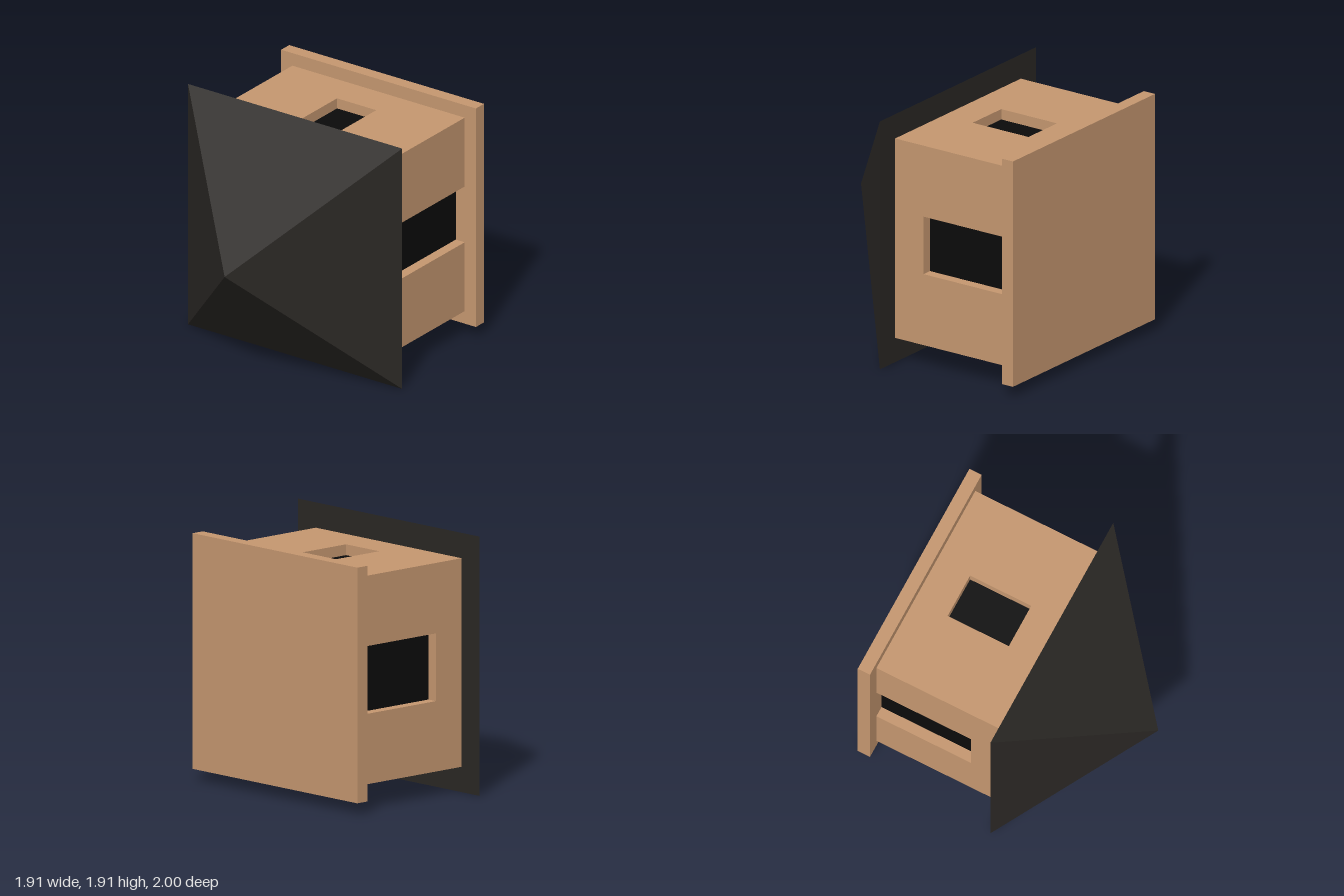
import * as THREE from 'three';

const HALF = 0.77, WALL = 0.08, BACK = -0.9, FRONT = 0.13;

export function createModel() {
  const model = new THREE.Group();
  model.name = 'hutOnItsSide';
  const house = new THREE.Group();
  house.name = 'house';
  house.position.y = 0.957;
  model.add(house);

  const wood = new THREE.MeshStandardMaterial({ color: 0xc4966f, flatShading: true });
  const roofMat = new THREE.MeshStandardMaterial({ color: 0x2a2724, flatShading: true });
  const dark = new THREE.MeshStandardMaterial({ color: 0x0a0a0a, flatShading: true });

  function add(name, geometry, material) {
    const mesh = new THREE.Mesh(geometry, material);
    mesh.name = name;
    house.add(mesh);
    return mesh;
  }

  // Wall panel facing +y, turned about z; shape height runs towards the floor slab (-z)
  function addWall(name, angle, halfWidth, door, w) {
    const top = -FRONT, floor = -BACK;
    const points = [[-halfWidth, floor], [-halfWidth, top], [halfWidth, top], [halfWidth, floor]];
    if (door) points.push([w, floor], [w, 0.125], [-w, 0.125], [-w, floor]);
    const shape = new THREE.Shape(points.map(([x, y]) => new THREE.Vector2(x, y)));
    if (!door) {
      const hole = [[-w, 0.13], [-w, 0.63], [w, 0.63], [w, 0.13]];
      shape.holes.push(new THREE.Path(hole.map(([x, y]) => new THREE.Vector2(x, y))));
    }
    const geometry = new THREE.ExtrudeGeometry(shape, { depth: WALL, bevelEnabled: false });
    geometry.rotateX(-Math.PI / 2).translate(0, HALF - WALL, 0).rotateZ(angle);
    add(name, geometry, wood);
  }

  // Two doorway walls and two window walls
  addWall('leftDoorWall', -Math.PI / 2, HALF, true, 0.222);
  addWall('rightDoorWall', Math.PI / 2, HALF, true, 0.25);
  addWall('upperWindowWall', 0, HALF - WALL, false, 0.175);
  addWall('lowerWindowWall', Math.PI, HALF - WALL, false, 0.175);

  // Dark core seen through the openings
  const inner = 2 * (HALF - WALL);
  add('darkInterior', new THREE.BoxGeometry(inner, inner, FRONT - BACK), dark)
    .position.z = (FRONT + BACK) / 2;

  // Floor slab at the back
  add('floorSlab', new THREE.BoxGeometry(1.74, 1.74, 0.1), wood).position.z = -0.95;

  // Pyramid roof pointing forward
  const roof = new THREE.ConeGeometry(0.957 * Math.SQRT2, 1 - FRONT, 4);
  roof.rotateY(Math.PI / 4).rotateX(Math.PI / 2);
  add('roof', roof, roofMat).position.z = (1 + FRONT) / 2;

  return model;
}
